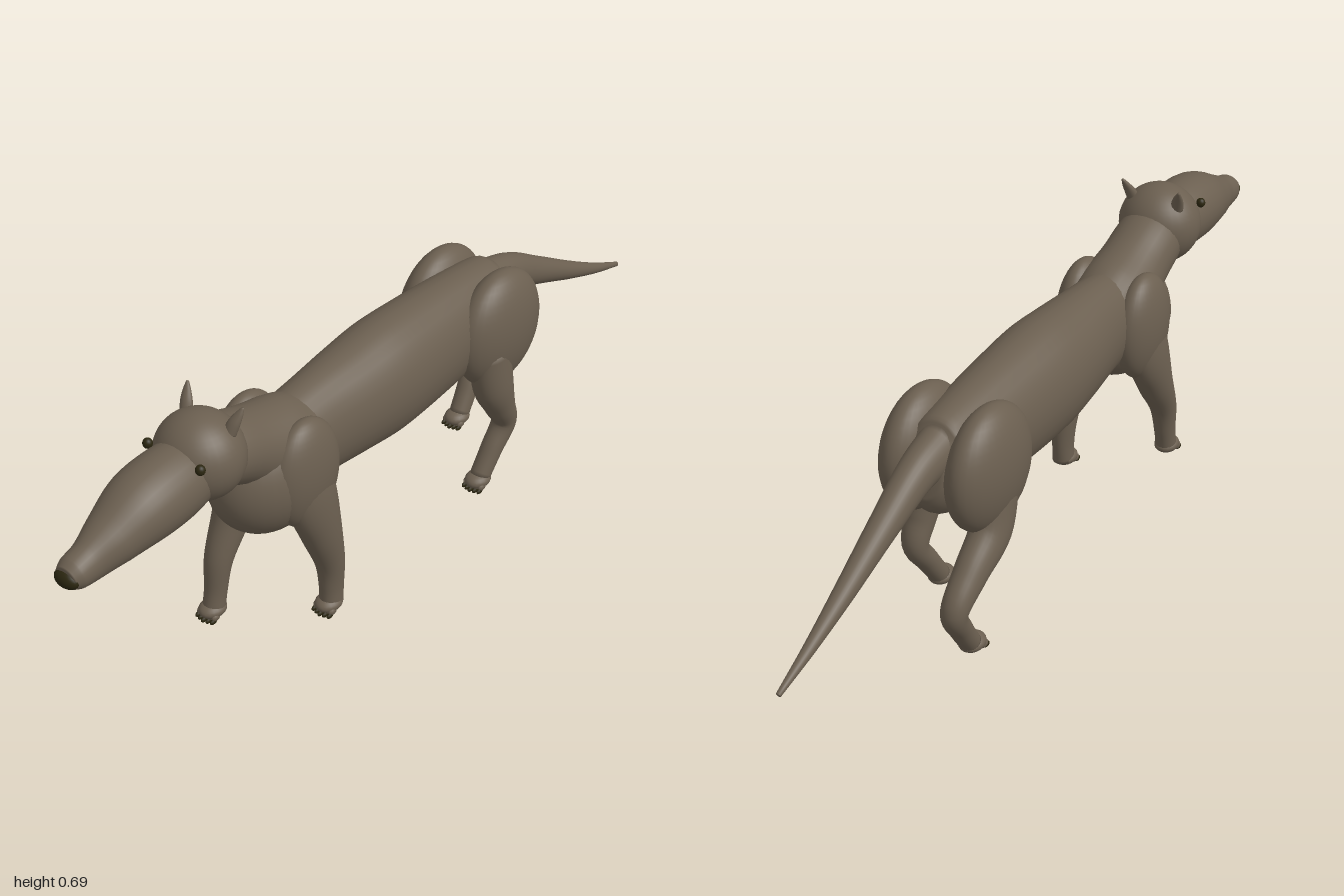
import * as THREE from 'three';

const fur = new THREE.MeshStandardMaterial({ color: 0x6b5f50 });
fur.name = 'brown fur';
const dark = new THREE.MeshStandardMaterial({ color: 0x2b2610 });
dark.name = 'dark nose and claws';

// Smooth tube through stations [x, y, z, halfWidth, halfDepth], closed at both ends
function loft(name, stations, material = fur, steps = 6, sides = 28) {
  const path = new THREE.CatmullRomCurve3(stations.map(s => new THREE.Vector3(s[0], s[1], s[2])));
  const size = new THREE.CatmullRomCurve3(stations.map((s, i) => new THREE.Vector3(s[3], s[4], i * 0.05)));
  const n = (stations.length - 1) * steps;
  const X = new THREE.Vector3(1, 0, 0);
  const pos = [], idx = [];
  for (let i = 0; i <= n; i++) {
    const c = path.getPoint(i / n), r = size.getPoint(i / n);
    const N = path.getTangent(i / n).cross(X).normalize();
    for (let j = 0; j < sides; j++) {
      const a = j / sides * Math.PI * 2;
      const p = c.clone().addScaledVector(X, r.x * Math.cos(a)).addScaledVector(N, r.y * Math.sin(a));
      pos.push(p.x, p.y, p.z);
      if (i < n) {
        const k = i * sides, j2 = (j + 1) % sides;
        idx.push(k + j, k + j2, k + sides + j, k + j2, k + sides + j2, k + sides + j);
      }
    }
  }
  // End caps
  [0, n].forEach(i => {
    const c = path.getPoint(i / n), k = i * sides, m = pos.length / 3;
    pos.push(c.x, c.y, c.z);
    for (let j = 0; j < sides; j++) {
      const j2 = (j + 1) % sides;
      if (i) idx.push(m, k + j, k + j2);
      else idx.push(m, k + j2, k + j);
    }
  });
  const g = new THREE.BufferGeometry();
  g.setAttribute('position', new THREE.Float32BufferAttribute(pos, 3));
  g.setIndex(idx);
  g.computeVertexNormals();
  const mesh = new THREE.Mesh(g, material);
  mesh.name = name;
  return mesh;
}

function ellipsoid(name, [x, y, z], [rx, ry, rz], material = fur, detail = 32) {
  const g = new THREE.SphereGeometry(1, detail, Math.ceil(detail * 0.7));
  g.scale(rx, ry, rz);
  const mesh = new THREE.Mesh(g, material);
  mesh.name = name;
  mesh.position.set(x, y, z);
  return mesh;
}

// Paw with a row of five dark claws; z is the toe tip
function paw(name, x, z) {
  const g = new THREE.Group();
  g.name = name;
  g.add(ellipsoid('pawPad', [x, 0.023, z - 0.036], [0.03, 0.019, 0.036], fur, 20));
  for (let i = -2; i <= 2; i++) {
    const back = Math.abs(i) * 0.003;
    g.add(ellipsoid('toe', [x + i * 0.011, 0.016, z - 0.016 - back], [0.007, 0.01, 0.013], fur, 10));
    g.add(ellipsoid('claw', [x + i * 0.011, 0.008, z - 0.007 - back], [0.005, 0.007, 0.011], dark, 10));
  }
  return g;
}

export function createModel() {
  const model = new THREE.Group();
  model.name = 'animal';

  // Trunk
  model.add(loft('barrel', [
    [0, 0.45, -0.46, 0.04, 0.06], [0, 0.44, -0.42, 0.08, 0.11], [0, 0.435, -0.3, 0.095, 0.13],
    [0, 0.434, -0.15, 0.106, 0.141], [0, 0.435, 0, 0.112, 0.146], [0, 0.437, 0.12, 0.105, 0.136],
    [0, 0.438, 0.25, 0.09, 0.126], [0, 0.435, 0.38, 0.085, 0.115]]));
  model.add(ellipsoid('chest', [0, 0.41, 0.39], [0.118, 0.143, 0.152]));
  model.add(loft('neck', [
    [0, 0.43, 0.26, 0.085, 0.1], [0, 0.47, 0.37, 0.095, 0.105],
    [0, 0.515, 0.46, 0.085, 0.085], [0, 0.55, 0.54, 0.082, 0.078], [0, 0.565, 0.6, 0.07, 0.07]]));

  // Head
  model.add(ellipsoid('skull', [0, 0.572, 0.592], [0.101, 0.099, 0.096]));
  model.add(loft('muzzle', [
    [0, 0.555, 0.6, 0.07, 0.07], [0, 0.552, 0.68, 0.081, 0.083], [0, 0.545, 0.77, 0.08, 0.08],
    [0, 0.522, 0.86, 0.06, 0.06], [0, 0.507, 0.92, 0.042, 0.047], [0, 0.503, 0.965, 0.037, 0.037],
    [0, 0.501, 0.985, 0.028, 0.026]]));
  model.add(ellipsoid('nose', [0, 0.5, 0.981], [0.031, 0.021, 0.019], dark, 20));

  for (const s of [-1, 1]) {
    const side = s > 0 ? 'left' : 'right';
    model.add(ellipsoid(side + 'Eye', [s * 0.072, 0.609, 0.667], [0.011, 0.012, 0.011], dark, 16));
    model.add(loft(side + 'Ear', [
      [s * 0.058, 0.63, 0.565, 0.016, 0.014], [s * 0.064, 0.656, 0.555, 0.015, 0.011],
      [s * 0.07, 0.675, 0.545, 0.01, 0.007], [s * 0.075, 0.69, 0.537, 0.003, 0.003]], fur, 5, 16));
    model.add(ellipsoid(side + 'Haunch', [s * 0.083, 0.423, -0.34], [0.068, 0.148, 0.142]));
    model.add(ellipsoid(side + 'Shoulder', [s * 0.08, 0.42, 0.36], [0.053, 0.135, 0.1]));
  }

  // Front legs in mid stride
  model.add(loft('leftFrontLeg', [
    [0.085, 0.46, 0.37, 0.035, 0.06], [0.092, 0.36, 0.355, 0.044, 0.068], [0.095, 0.25, 0.328, 0.043, 0.052],
    [0.096, 0.14, 0.3, 0.033, 0.036], [0.096, 0.07, 0.296, 0.026, 0.032], [0.096, 0.02, 0.298, 0.026, 0.03]]));
  model.add(paw('leftFrontPaw', 0.096, 0.342));
  model.add(loft('rightFrontLeg', [
    [-0.085, 0.46, 0.36, 0.035, 0.06], [-0.092, 0.35, 0.37, 0.044, 0.066], [-0.095, 0.25, 0.405, 0.043, 0.048],
    [-0.096, 0.15, 0.455, 0.033, 0.034], [-0.096, 0.07, 0.47, 0.026, 0.028], [-0.096, 0.02, 0.48, 0.026, 0.028]]));
  model.add(paw('rightFrontPaw', -0.096, 0.52));

  // Hind legs with bent hocks
  model.add(loft('leftHindLeg', [
    [0.098, 0.4, -0.29, 0.045, 0.06], [0.105, 0.29, -0.3, 0.045, 0.055], [0.107, 0.22, -0.325, 0.038, 0.04],
    [0.106, 0.155, -0.35, 0.031, 0.03], [0.1, 0.09, -0.312, 0.027, 0.027], [0.096, 0.025, -0.27, 0.025, 0.025]]));
  model.add(paw('leftHindPaw', 0.096, -0.228));
  model.add(loft('rightHindLeg', [
    [-0.098, 0.39, -0.33, 0.045, 0.06], [-0.105, 0.285, -0.37, 0.045, 0.055], [-0.107, 0.225, -0.455, 0.038, 0.042],
    [-0.106, 0.16, -0.522, 0.031, 0.031], [-0.1, 0.09, -0.487, 0.027, 0.027], [-0.096, 0.025, -0.445, 0.025, 0.025]]));
  model.add(paw('rightHindPaw', -0.096, -0.402));

  // Tail tapering down behind
  model.add(loft('tail', [
    [0, 0.48, -0.4, 0.05, 0.06], [0, 0.465, -0.49, 0.042, 0.048], [0, 0.405, -0.62, 0.033, 0.035],
    [0, 0.33, -0.77, 0.023, 0.023], [0, 0.275, -0.89, 0.014, 0.014], [0, 0.233, -0.998, 0.006, 0.006]]));
  return model;
}
